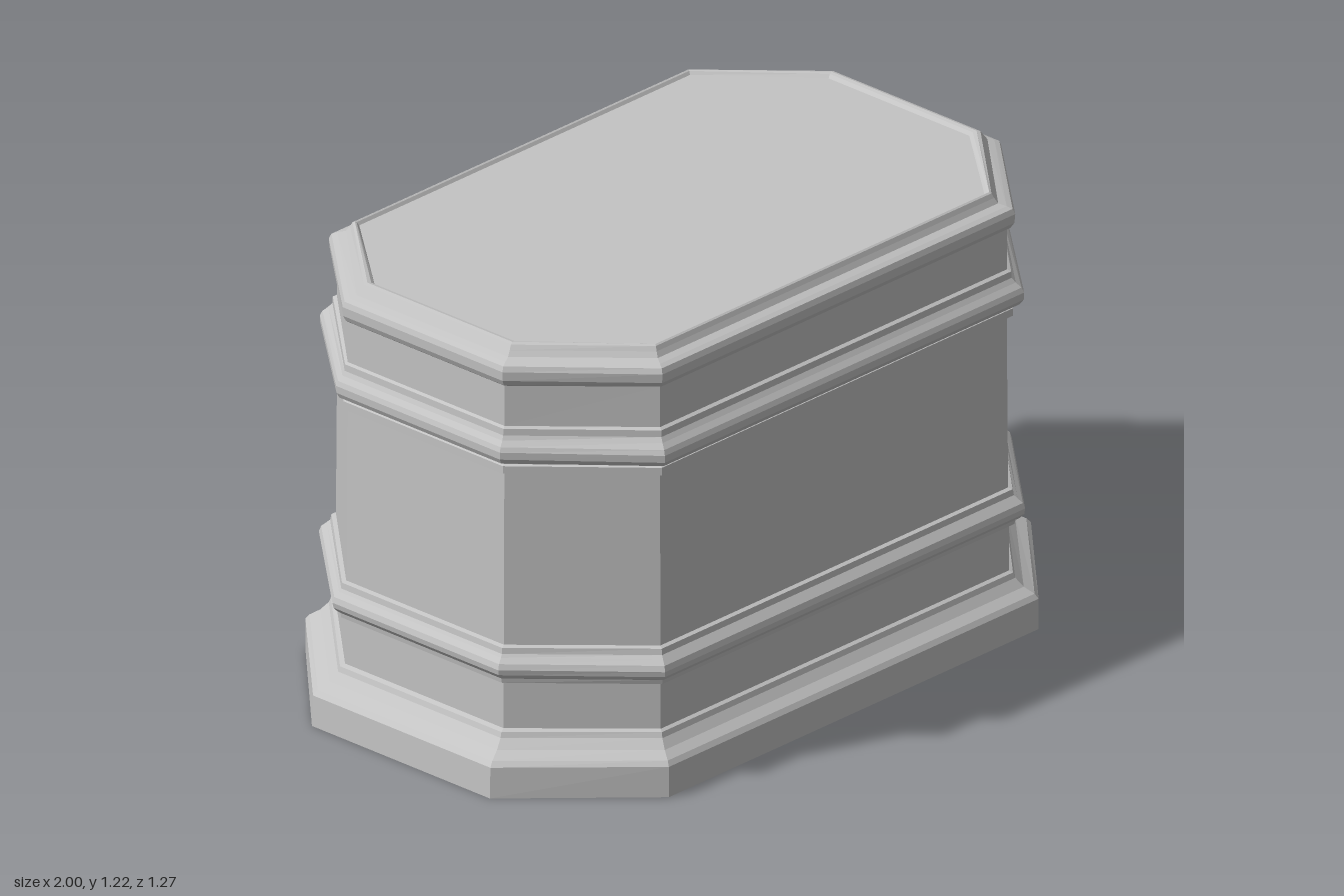
import * as THREE from 'three';

const stone = new THREE.MeshStandardMaterial({ color: 0xc4c4c4, side: THREE.DoubleSide });
stone.name = 'pale grey stone';

// Eight-cornered outline with half width x and half depth z at height y
function outline([y, x, z]) {
  const cx = 0.64 + 0.6 * (z - 0.565); // end of the long flat
  const cz = 0.275 + 0.4 * (x - 0.91); // end of the short flat
  return [[cx, z], [x, cz], [x, -cz], [cx, -z], [-cx, -z], [-x, -cz], [-x, cz], [-cx, z]]
    .map(([px, pz]) => new THREE.Vector3(px, y, pz));
}

// Hollow wall through a stack of outlines, listed from the bottom up
function wall(name, rows, capped = false) {
  const rings = rows.map(outline);
  const points = [];
  for (let r = 0; r < rings.length - 1; r++) {
    for (let i = 0; i < 8; i++) {
      const j = (i + 1) % 8;
      const a = rings[r][i], b = rings[r][j], c = rings[r + 1][j], d = rings[r + 1][i];
      points.push(a, b, c, a, c, d);
    }
  }
  if (capped) {
    const top = rings[rings.length - 1];
    for (let i = 1; i < 7; i++) points.push(top[0], top[i], top[i + 1]);
  }
  const geometry = new THREE.BufferGeometry().setFromPoints(points);
  geometry.computeVertexNormals();
  const mesh = new THREE.Mesh(geometry, stone);
  mesh.name = name;
  return mesh;
}

export function createModel() {
  const model = new THREE.Group();
  model.name = 'pedestal';

  // Spreading foot, open underneath
  model.add(wall('plinth', [
    [0, 1.0, 0.635], [0.085, 0.997, 0.635], [0.098, 0.985, 0.626],
    [0.115, 0.955, 0.602], [0.138, 0.932, 0.583], [0.152, 0.927, 0.578], [0.157, 0.914, 0.569],
  ]));
  model.add(wall('lowerBody', [[0.157, 0.914, 0.569], [0.287, 0.914, 0.569]]));

  // Rounded moulding around the lower body
  model.add(wall('lowerMoulding', [
    [0.287, 0.914, 0.569], [0.289, 0.924, 0.581], [0.302, 0.926, 0.584], [0.308, 0.934, 0.594],
    [0.32, 0.944, 0.603], [0.335, 0.947, 0.605], [0.35, 0.942, 0.6], [0.362, 0.93, 0.588],
    [0.37, 0.924, 0.58], [0.386, 0.922, 0.577], [0.39, 0.911, 0.567],
  ]));
  model.add(wall('mainBody', [[0.39, 0.911, 0.567], [0.872, 0.908, 0.564]]));

  // Fillet and rounded moulding around the upper body
  model.add(wall('upperMoulding', [
    [0.872, 0.908, 0.564], [0.874, 0.918, 0.578], [0.895, 0.918, 0.578], [0.898, 0.911, 0.571],
    [0.904, 0.912, 0.572], [0.908, 0.929, 0.593], [0.922, 0.936, 0.602], [0.942, 0.937, 0.603],
    [0.955, 0.932, 0.597], [0.968, 0.921, 0.584], [0.98, 0.915, 0.575],
    [0.998, 0.914, 0.574], [1.003, 0.907, 0.565],
  ]));
  model.add(wall('neck', [[1.003, 0.907, 0.565], [1.116, 0.907, 0.564]]));

  // Rounded lid with a stepped rim and a slightly sunken top panel
  model.add(wall('lid', [
    [1.116, 0.907, 0.564], [1.12, 0.912, 0.572], [1.135, 0.919, 0.581], [1.16, 0.92, 0.583],
    [1.174, 0.915, 0.577], [1.18, 0.902, 0.564], [1.186, 0.884, 0.545], [1.2, 0.874, 0.536],
    [1.212, 0.866, 0.53], [1.215, 0.856, 0.525], [1.213, 0.846, 0.521], [1.205, 0.837, 0.515],
  ], true));

  // Small catch on the left end: pointed plate with a narrow tail
  const catchShape = new THREE.Shape([
    [-0.075, 0.53], [-0.045, 0.56], [-0.015, 0.55], [0.03, 0.553], [0.04, 0.56], [0.04, 0.545],
    [0.03, 0.539], [-0.006, 0.538], [-0.006, 0.522], [-0.04, 0.504], [-0.065, 0.512],
  ].map(([u, v]) => new THREE.Vector2(u, v)));
  const plate = new THREE.Mesh(
    new THREE.ExtrudeGeometry(catchShape, { depth: 0.009, bevelEnabled: false }), stone);
  plate.rotation.y = Math.PI / 2;
  plate.position.x = 0.923;
  plate.name = 'sideCatch';
  model.add(plate);

  return model;
}
